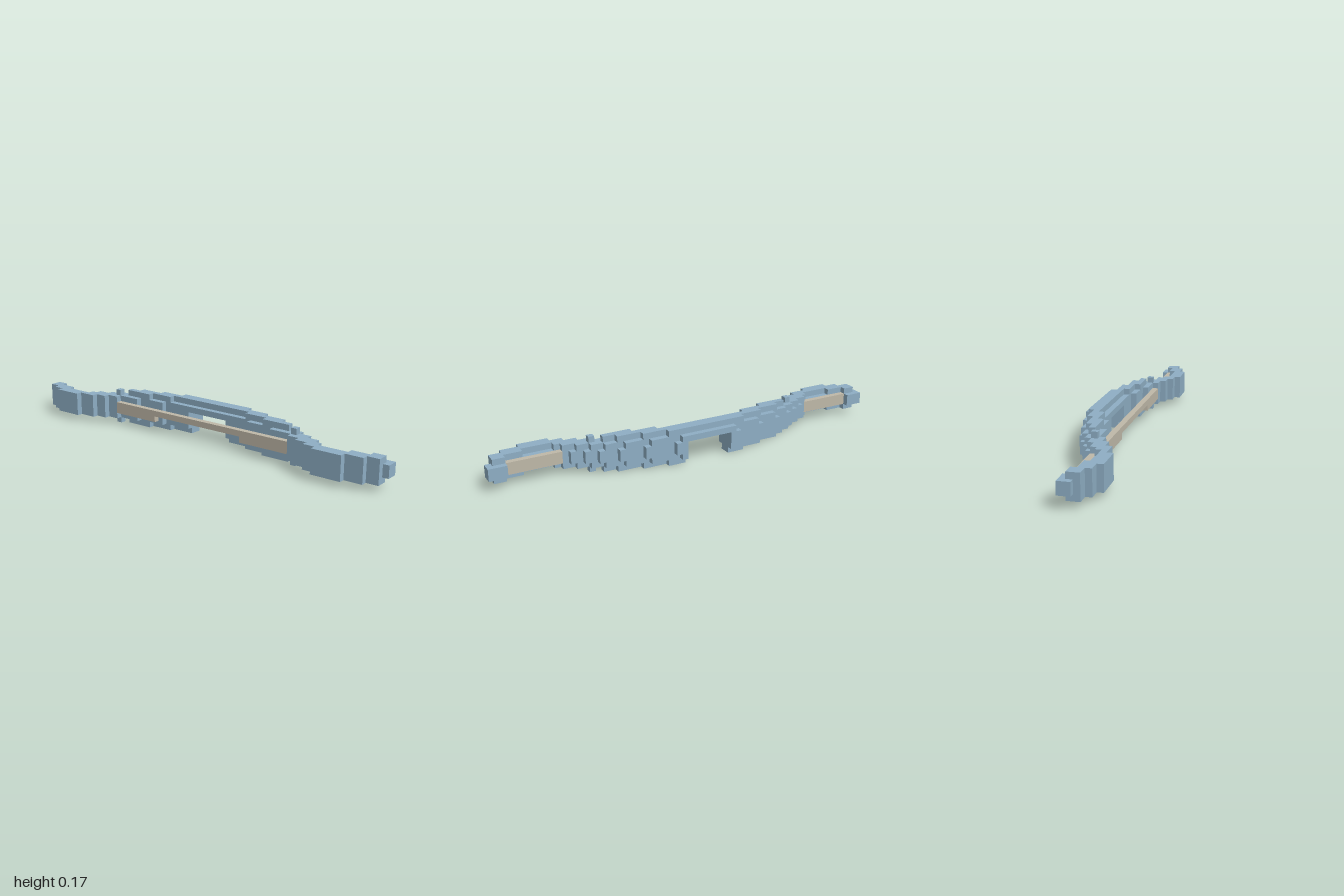
import * as THREE from 'three';

const U = 1 / 35; // one block

export function createModel() {
  const model = new THREE.Group();
  const blue = new THREE.MeshStandardMaterial({ color: 0x8eaec4 });
  blue.name = 'soft blue';
  const beige = new THREE.MeshStandardMaterial({ color: 0xbfb8a8 });
  beige.name = 'cord beige';

  // Box between block coordinates
  function block(parent, name, mat, x0, x1, y0, y1, z0, z1) {
    const mesh = new THREE.Mesh(new THREE.BoxGeometry((x1 - x0) * U, (y1 - y0) * U, (z1 - z0) * U), mat);
    mesh.position.set((x0 + x1) * U / 2, (y0 + y1) * U / 2, (z0 + z1) * U / 2);
    mesh.name = name;
    parent.add(mesh);
  }

  // Same box on both halves, or one box across the middle
  function pair(parent, name, mat, x0, x1, y0, y1, near, far) {
    if (near === 0) return block(parent, name, mat, x0, x1, y0, y1, -far, far);
    block(parent, name, mat, x0, x1, y0, y1, near, far);
    block(parent, name, mat, x0, x1, y0, y1, -far, -near);
  }

  // One-block-wide column: core, middle and full-height layers as [near, far] along z.
  // Rows under the grip are cut away to leave the arch.
  function column(parent, name, x, core, mid, full) {
    const rows = [[0, 1, full], [1, 2, mid], [2, 4, core], [4, 5, mid], [5, 6, full]];
    for (const [y0, y1, span] of rows) {
      if (!span) continue;
      const near = y0 < 4 ? Math.max(span[0], 4) : span[0];
      if (near < span[1]) pair(parent, name, blue, x, x + 1, y0, y1, near, span[1]);
    }
  }

  // Curved body with the grip in the middle
  const body = new THREE.Group();
  body.name = 'bowBody';
  column(body, 'gripFront', 4, [0, 6], [0, 5]);
  column(body, 'gripOuter', 3, [0, 11], [0, 10], [0, 7]);
  column(body, 'gripCore', 2, [0, 15], [0, 14], [0, 11]);
  column(body, 'gripInner', 1, [0, 18], [0, 17], [8, 15]);
  column(body, 'limbOuter', 0, [9, 20], [9, 19], [12, 17]);
  column(body, 'limbMiddle', -1, [14, 22], [14, 21], [18, 19]);
  column(body, 'limbInner', -2, [18, 23], [18, 23]);
  model.add(body);

  // Recurved ends
  const ends = new THREE.Group();
  ends.name = 'recurvedEnds';
  column(ends, 'curveInner', -3, [20, 34], [20, 24]);
  column(ends, 'curveInnerTip', -3, null, [29, 34]);
  column(ends, 'curveMiddle', -4, [22, 32], [22, 32]);
  for (const z of [24, -30]) {
    block(ends, 'curveOuter', blue, -5, -4, 2, 4, z, z + 5);
    block(ends, 'curveOuter', blue, -5, -4, 1, 2, z, z + 5);
    block(ends, 'curveOuter', blue, -5, -4, 4, 5, z, z + 5);
  }
  pair(ends, 'tip', blue, -2, 0, 2, 4, 32, 35);
  pair(ends, 'tipRidge', blue, -2, -1, 1, 5, 32, 34);
  model.add(ends);

  // String, thinner across the middle
  const string = new THREE.Group();
  string.name = 'bowString';
  pair(string, 'stringMiddle', beige, -2, -1, 3, 4, 0, 9);
  pair(string, 'stringSide', beige, -2, -1, 2, 4, 9, 18);
  pair(string, 'stringEnd', beige, -2, -1, 2, 4, 23, 32);
  model.add(string);

  return model;
}
